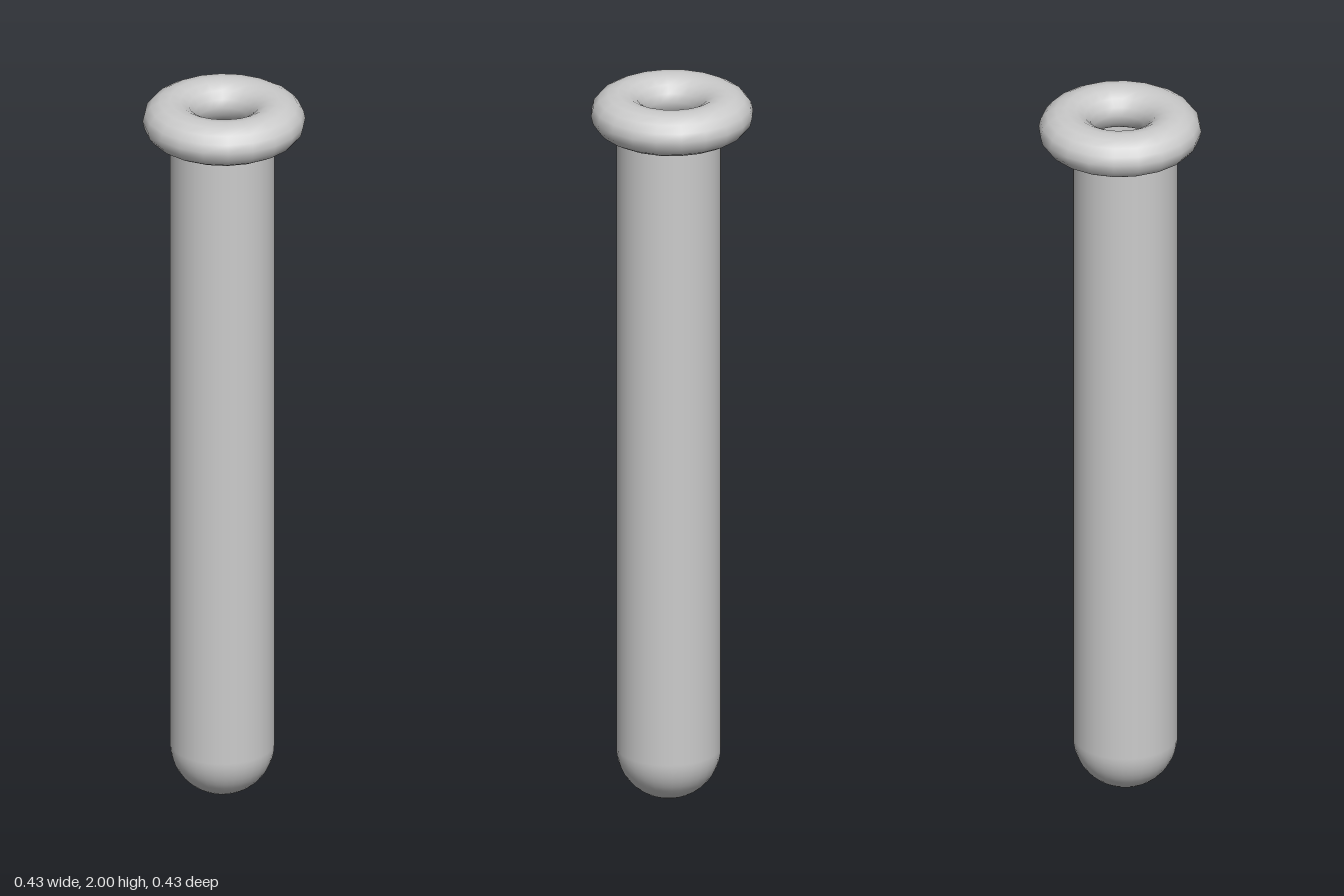
import * as THREE from 'three';

export function createModel() {
  const model = new THREE.Group();
  const material = new THREE.MeshStandardMaterial({ color: 0xcccccc, side: THREE.DoubleSide });
  const radius = 0.138, rimY = 1.941;

  const add = (name, geometry, x, y, z) => {
    const mesh = new THREE.Mesh(geometry, material);
    mesh.name = name;
    mesh.position.set(x, y, z);
    model.add(mesh);
    return mesh;
  };

  // Open tube wall, sitting slightly off the rim's axis
  const wallHeight = rimY - radius;
  add('tubeWall', new THREE.CylinderGeometry(radius, radius, wallHeight, 32, 1, true),
    -0.005, radius + wallHeight / 2, 0.013);

  // Rounded, hollow bottom
  add('roundedBottom',
    new THREE.SphereGeometry(radius, 32, 12, 0, Math.PI * 2, Math.PI / 2, Math.PI / 2),
    -0.005, radius, 0.013);

  // Slightly flattened ring around the mouth
  const rim = new THREE.TorusGeometry(0.1435, 0.0715, 16, 20);
  rim.rotateX(Math.PI / 2);
  rim.scale(1, 0.825, 1);
  add('rim', rim, 0, rimY, 0);

  return model;
}
